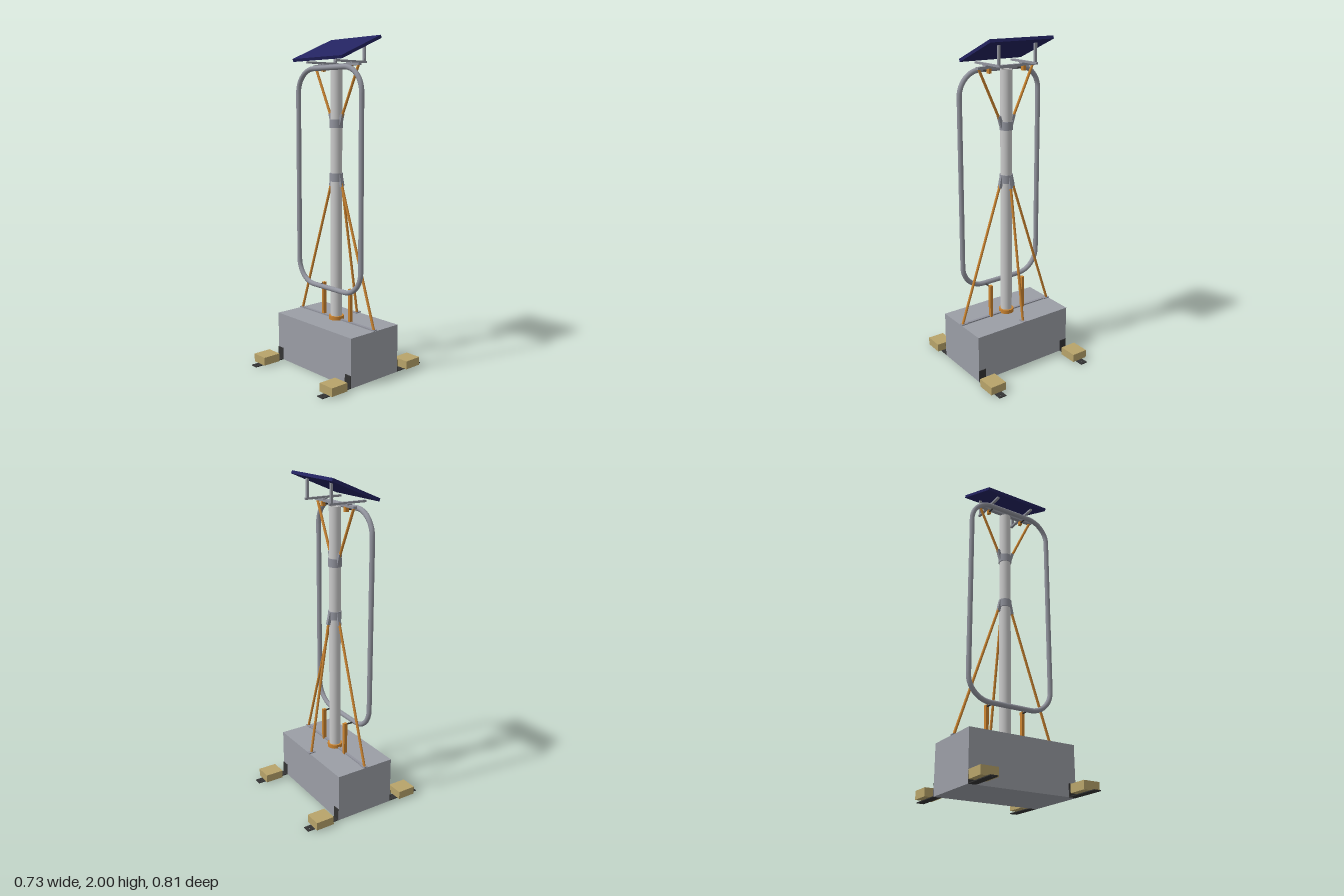
import * as THREE from 'three';

const mat = (name, color, side = THREE.FrontSide) => {
  const m = new THREE.MeshStandardMaterial({ color, side });
  m.name = name;
  return m;
};

export function createModel() {
  const model = new THREE.Group();
  const concrete = mat('concrete grey', 0x9b9ea6);
  const poleGrey = mat('pole light grey', 0xcacaca, THREE.DoubleSide);
  const steel = mat('steel grey', 0x92949e);
  const orange = mat('orange', 0xcb8430);
  const black = mat('dark strap', 0x343434);
  const tan = mat('sand tan', 0xb8a46a);
  const navy = mat('panel navy', 0x232360);

  const add = (name, geo, m, x = 0, y = 0, z = 0) => {
    const mesh = new THREE.Mesh(geo, m);
    mesh.name = name;
    mesh.position.set(x, y, z);
    model.add(mesh);
    return mesh;
  };
  const box = (name, m, w, h, d, x, y, z) => add(name, new THREE.BoxGeometry(w, h, d), m, x, y, z);
  const cyl = (name, m, r, h, x, y, z) => add(name, new THREE.CylinderGeometry(r, r, h, 32), m, x, y, z);
  // Align a part's y axis with the line between two points
  const span = (name, m, a, b, makeGeo) => {
    const p = new THREE.Vector3(...a), q = new THREE.Vector3(...b);
    const d = q.clone().sub(p);
    const mesh = add(name, makeGeo(d.length()), m);
    mesh.position.copy(p).add(q).multiplyScalar(0.5);
    mesh.quaternion.setFromUnitVectors(new THREE.Vector3(0, 1, 0), d.normalize());
    return mesh;
  };
  const rod = (name, m, a, b, r) => span(name, m, a, b, (l) => new THREE.CylinderGeometry(r, r, l, 16));

  // Ballast block and its top rail
  box('ballastBlock', concrete, 0.674, 0.296, 0.382, 0, 0.148, 0);
  box('baseRail', steel, 0.66, 0.008, 0.016, 0, 0.3, 0);

  // Ground straps with a bolt hole, upright tabs and sandbags
  const strap = new THREE.Shape();
  strap.moveTo(-0.0235, 0.19).lineTo(0.0235, 0.19).lineTo(0.0235, 0.404).lineTo(-0.0235, 0.404).closePath();
  strap.holes.push(new THREE.Path().absarc(0, 0.382, 0.005, 0, Math.PI * 2, true));
  const strapGeo = new THREE.ExtrudeGeometry(strap, { depth: 0.005, bevelEnabled: false, curveSegments: 16 });
  strapGeo.rotateX(Math.PI / 2).translate(0, 0.005, 0);
  for (const sx of [-1, 1]) {
    for (const sz of [-1, 1]) {
      const foot = add('groundStrap', strapGeo, black, sx * 0.313, 0, 0);
      if (sz < 0) foot.rotation.y = Math.PI;
      box('strapTab', black, 0.047, 0.075, 0.005, sx * 0.313, 0.0375, sz * 0.1935);
      box('sandbag', tan, 0.104, 0.05, 0.116, sx * 0.313, 0.034, sz * 0.303);
    }
  }

  // Hollow mast with foot flange
  const mastProfile = [[0.029, 0.296], [0.035, 0.296], [0.035, 1.815], [0.029, 1.815], [0.029, 0.296]];
  for (let i = 0; i < 4; i++) {
    const pts = [mastProfile[i], mastProfile[i + 1]].map((p) => new THREE.Vector2(...p));
    add('mast', new THREE.LatheGeometry(pts, 32), poleGrey);
  }
  cyl('mastFlange', orange, 0.046, 0.024, 0, 0.308, 0);

  // Collars
  cyl('lowerCollar', steel, 0.04, 0.05, 0, 1.173, 0);
  cyl('upperCollar', steel, 0.04, 0.05, 0, 1.492, 0);

  // Stays: two at the sides, one at the back, each with foot plate and lug
  for (const [dx, dz, reach] of [[1, 0, 0.325], [-1, 0, 0.325], [0, -1, 0.175]]) {
    rod('stay', orange, [dx * reach, 0.302, dz * reach], [dx * 0.044, 1.14, dz * 0.044], 0.008);
    const foot = box('stayFoot', steel, 0.046, 0.006, 0.027, dx * (reach - 0.01), 0.301, dz * (reach + 0.002));
    if (dz) foot.rotation.y = Math.PI / 2;
    span('lowerLug', steel, [dx * 0.048, 1.118, dz * 0.048], [dx * 0.032, 1.19, dz * 0.032],
      (l) => new THREE.BoxGeometry(0.018, l, 0.02));
  }

  // Upper braces, loop supports and panel arms
  for (const s of [-1, 1]) {
    rod('upperBrace', orange, [s * 0.042, 1.52, 0], [s * 0.187, 1.826, 0], 0.008);
    span('upperLug', steel, [s * 0.03, 1.48, 0], [s * 0.052, 1.55, 0], (l) => new THREE.BoxGeometry(0.018, l, 0.02));
    box('loopPost', orange, 0.018, 0.209, 0.022, s * 0.12, 0.4005, -0.004);
    box('loopHanger', orange, 0.018, 0.028, 0.022, s * 0.12, 1.813, -0.004);
    for (const y of [0.496, 1.812]) rod('loopBolt', black, [s * 0.12, y, 0], [s * 0.12, y, 0.056], 0.005);
    box('panelArm', steel, 0.016, 0.012, 0.242, s * 0.125, 1.849, 0);
    box('panelArmFoot', steel, 0.05, 0.006, 0.03, s * 0.125, 1.842, 0);
    box('panelPost', steel, 0.016, 0.116, 0.014, s * 0.125, 1.905, -0.105);
  }
  box('crossbar', steel, 0.4, 0.014, 0.024, 0, 1.832, 0);

  // Rounded rectangular tube loop in front of the mast
  const X = 0.278, B = 0.5, T = 1.815, R = 0.142;
  const path = new THREE.CurvePath();
  const v = (x, y) => new THREE.Vector3(x, y, 0.062);
  const line = (a, b) => path.add(new THREE.LineCurve3(a, b));
  const corner = (cx, cy, start) => {
    const pts = [];
    for (let i = 0; i <= 12; i++) {
      const t = start + (i / 12) * Math.PI / 2;
      pts.push(v(cx + R * Math.cos(t), cy + R * Math.sin(t)));
    }
    for (let i = 0; i < 12; i++) line(pts[i], pts[i + 1]);
  };
  line(v(X, B + R), v(X, T - R));
  corner(X - R, T - R, 0);
  line(v(X - R, T), v(-X + R, T));
  corner(-X + R, T - R, Math.PI / 2);
  line(v(-X, T - R), v(-X, B + R));
  corner(-X + R, B + R, Math.PI);
  line(v(-X + R, B), v(X - R, B));
  corner(X - R, B + R, Math.PI * 1.5);
  add('tubeLoop', new THREE.TubeGeometry(path, 240, 0.015, 16, true), steel);

  // Tilted solar panel
  const panel = box('solarPanel', navy, 0.43, 0.018, 0.334, 0, 1.927, 0);
  panel.rotation.x = 0.398;

  return model;
}
